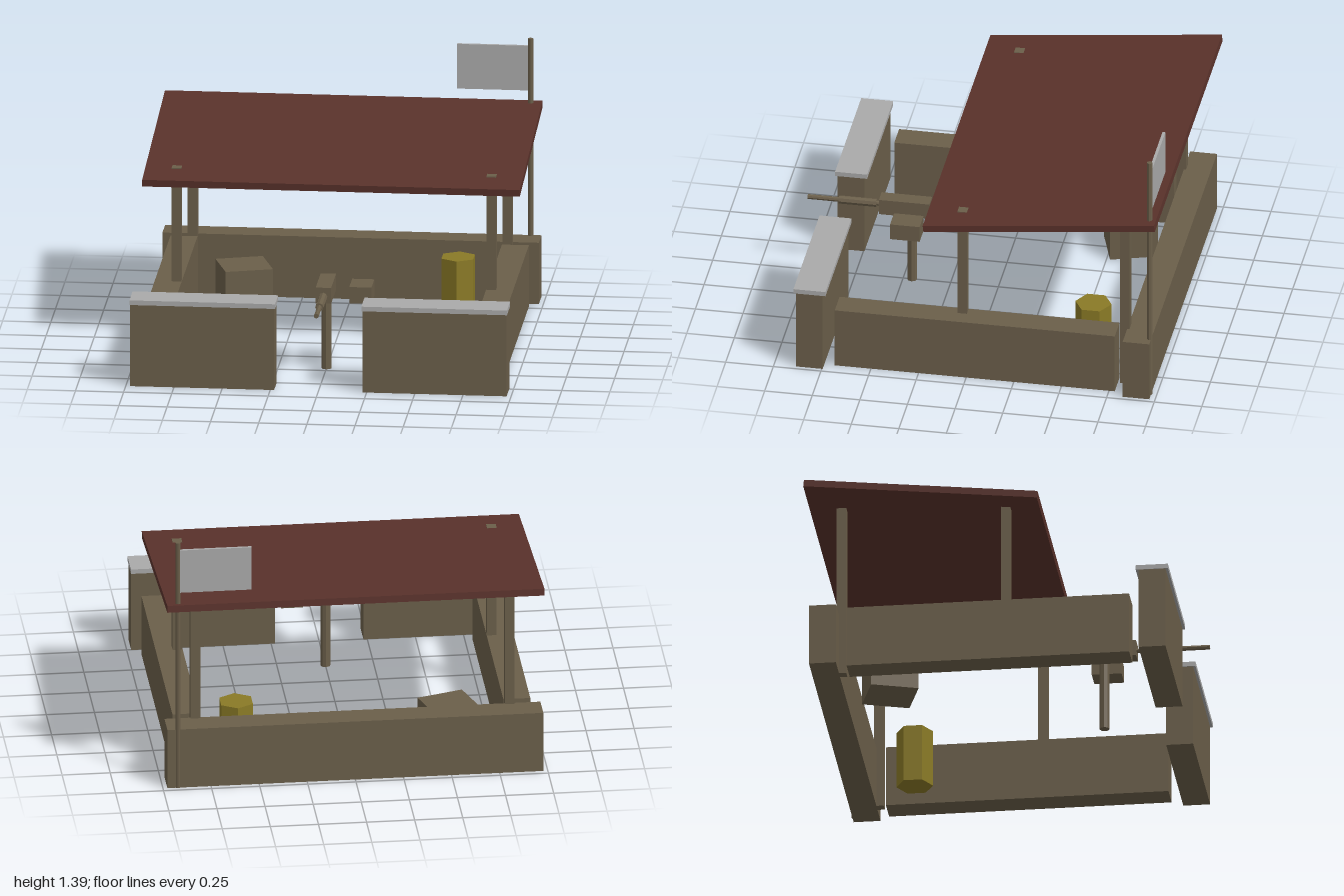
import * as THREE from 'three';

const mat = (name, color) => {
  const m = new THREE.MeshStandardMaterial({ color, flatShading: true });
  m.name = name;
  return m;
};

export function createModel() {
  const model = new THREE.Group();
  model.name = 'checkpoint';
  const earth = mat('earthBrown', 0x6b5f4a);
  const concrete = mat('concreteGrey', 0xaaaaaa);
  const rust = mat('rustRed', 0x5a322b);
  const yellow = mat('drumYellow', 0x8a7a26);

  const add = (name, geometry, material, x, y, z) => {
    const mesh = new THREE.Mesh(geometry, material);
    mesh.name = name;
    mesh.position.set(x, y, z);
    model.add(mesh);
    return mesh;
  };
  // Box given by its lower and upper limits on each axis
  const box = (name, material, [x0, x1], [y0, y1], [z0, z1]) =>
    add(name, new THREE.BoxGeometry(x1 - x0, y1 - y0, z1 - z0), material,
      (x0 + x1) / 2, (y0 + y1) / 2, (z0 + z1) / 2);
  // Round bar along z
  const bar = (name, radius, z0, z1) =>
    add(name, new THREE.CylinderGeometry(radius, radius, z1 - z0, 8).rotateX(Math.PI / 2),
      earth, 0, 0.437, (z0 + z1) / 2);

  // Walls, caps and roof posts, mirrored left and right
  for (const [side, s] of [['left', 1], ['right', -1]]) {
    const span = (a, b) => (s > 0 ? [a, b] : [-b, -a]);
    box(side + 'FrontWall', earth, span(0.23, 0.977), [0, 0.44], [0.745, 0.885]);
    box(side + 'FrontWallCap', concrete, span(0.224, 0.98), [0.44, 0.465], [0.73, 0.898]);
    box(side + 'SideWall', earth, span(0.79, 0.93), [0, 0.33], [-0.78, 0.69]);
    box(side + 'FrontPost', earth, span(0.792, 0.842), [0, 0.94], [0.012, 0.062]);
    box(side + 'BackPost', earth, span(0.792, 0.842), [0, 0.94], [-0.842, -0.792]);
  }
  box('backWall', earth, [-0.977, 0.977], [0, 0.33], [-0.97, -0.83]);

  // Sloping roof sheet
  const roof = add('roof', new THREE.BoxGeometry(1.96, 0.037, 1.222), rust, 0, 0.964, -0.39);
  roof.rotation.x = 0.107;

  // Flag on its pole
  add('flagPole', new THREE.CylinderGeometry(0.014, 0.014, 1.39, 8), earth, 0.921, 0.695, -0.962);
  box('flag', concrete, [0.54, 0.912], [1.11, 1.35], [-0.975, -0.96]);

  // Mounted gun
  add('gunStand', new THREE.CylinderGeometry(0.026, 0.026, 0.4, 8), earth, 0, 0.2, 0.452);
  box('gunBody', earth, [-0.04, 0.04], [0.395, 0.48], [0.355, 0.62]);
  bar('gunSleeve', 0.022, 0.638, 0.835);
  bar('gunBarrel', 0.013, 0.6, 1.0);
  box('ammoBox', earth, [0.125, 0.24], [0.372, 0.46], [0.37, 0.525]);

  // Stores inside the yard
  const crate = add('crate', new THREE.BoxGeometry(0.25, 0.24, 0.25), earth, -0.53, 0.12, -0.6);
  crate.rotation.y = 0.31;
  add('drum', new THREE.CylinderGeometry(0.095, 0.095, 0.31, 6), yellow, 0.58, 0.155, -0.605);

  return model;
}
